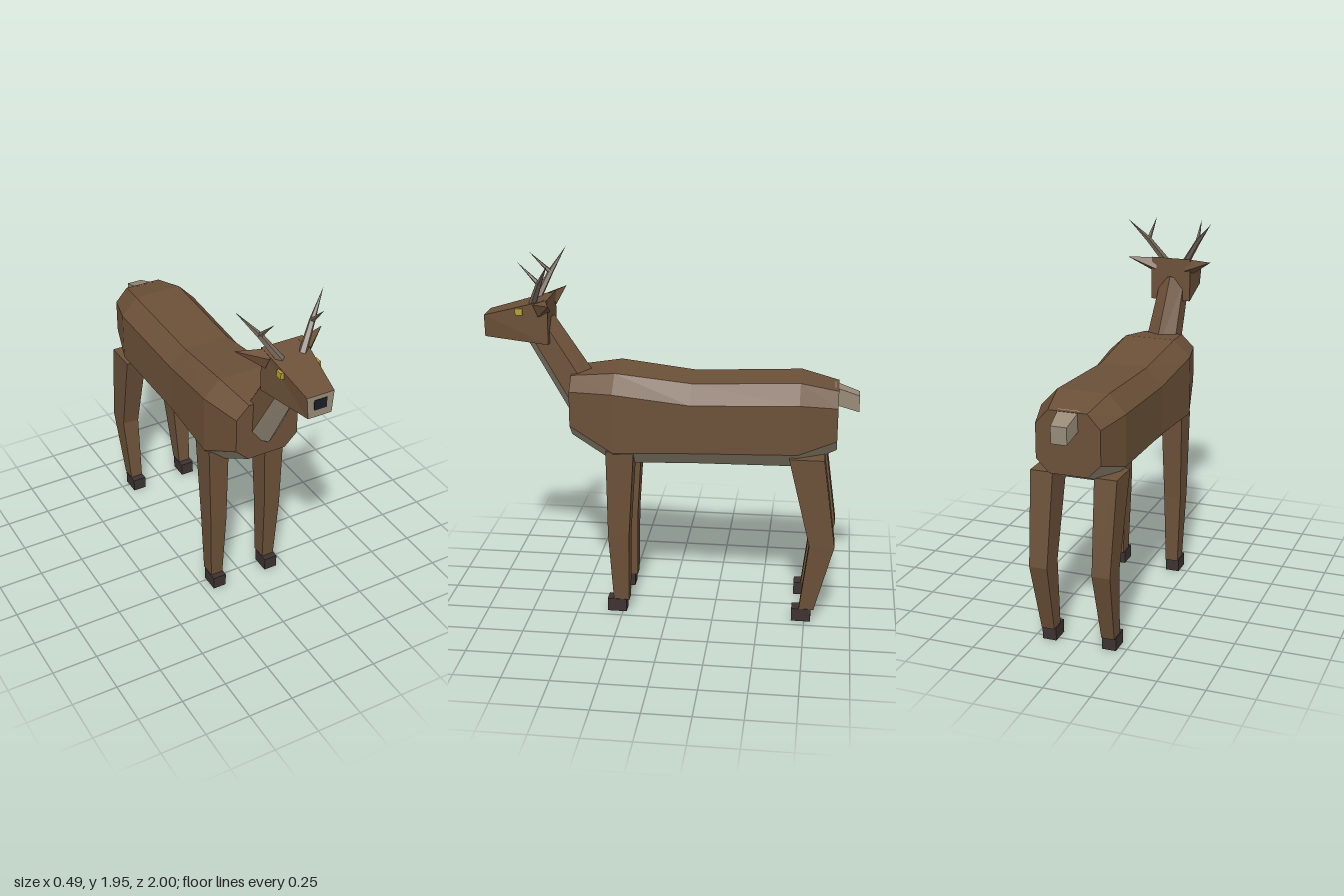
import * as THREE from 'three';

const mat = (color) => new THREE.MeshStandardMaterial({ color, flatShading: true });
const coat = mat(0x6b5038), pale = mat(0x978b78), horn = mat(0x75685a);
const hoofMat = mat(0x3c3230), noseMat = mat(0x1c1c26), eyeMat = mat(0xb8a030);

// Skin a row of equal-length rings (counter-clockwise about the row's direction).
// sides: which strips to build; caps: [start, end]
function loft(rings, sides = null, caps = [true, true]) {
  const out = [], n = rings[0].length;
  const tri = (...pts) => pts.forEach((p) => out.push(...p));
  for (let r = 0; r < rings.length - 1; r++) {
    for (let i = 0; i < n; i++) {
      if (sides && !sides.includes(i)) continue;
      const j = (i + 1) % n, a = rings[r], b = rings[r + 1];
      tri(a[i], a[j], b[j]);
      tri(a[i], b[j], b[i]);
    }
  }
  const first = rings[0], last = rings[rings.length - 1];
  for (let i = 1; i < n - 1; i++) {
    if (caps[0]) tri(first[0], first[i + 1], first[i]);
    if (caps[1]) tri(last[0], last[i], last[i + 1]);
  }
  const g = new THREE.BufferGeometry();
  g.setAttribute('position', new THREE.Float32BufferAttribute(out, 3));
  g.computeVertexNormals();
  return g;
}

// Tapered round bar between two points
function bar(a, b, ra, rb, sides) {
  const A = new THREE.Vector3(...a), B = new THREE.Vector3(...b);
  const dir = B.clone().sub(A);
  const g = new THREE.CylinderGeometry(rb, ra, dir.length(), sides);
  g.applyQuaternion(new THREE.Quaternion().setFromUnitVectors(new THREE.Vector3(0, 1, 0), dir.normalize()));
  const mid = A.add(B).multiplyScalar(0.5);
  return g.translate(mid.x, mid.y, mid.z);
}

// Box from minimum and maximum corners
const block = (x0, x1, y0, y1, z0, z1) =>
  new THREE.BoxGeometry(x1 - x0, y1 - y0, z1 - z0).translate((x0 + x1) / 2, (y0 + y1) / 2, (z0 + z1) / 2);

// Upright cross-section with separate lower and upper half widths
const section = (z, wLow, wTop, y0, y1) => [[wLow, y0, z], [wTop, y1, z], [-wTop, y1, z], [-wLow, y0, z]];

export function createModel() {
  const model = new THREE.Group();
  const add = (parent, name, geometry, material) => {
    const m = new THREE.Mesh(geometry, material);
    m.name = name;
    parent.add(m);
  };

  // Body: eight-sided sections from rump to chest [z, half width, bottom, low, high, top]
  const bodyRings = [
    [-0.89, 0.17, 0.97, 1.04, 1.22, 1.295],
    [-0.69, 0.225, 0.88, 0.975, 1.245, 1.34],
    [-0.12, 0.215, 0.87, 0.955, 1.22, 1.315],
    [0.29, 0.235, 0.86, 0.945, 1.27, 1.36],
    [0.53, 0.18, 1.0, 1.07, 1.26, 1.33],
  ].map(([z, w, bottom, low, high, top]) => {
    const c = 0.6 * w;
    return [[w, low, z], [w, high, z], [c, top, z], [-c, top, z],
      [-w, high, z], [-w, low, z], [-c, bottom, z], [c, bottom, z]];
  });
  add(model, 'body', loft(bodyRings, [0, 1, 2, 3, 4]), coat);
  add(model, 'belly', loft(bodyRings, [5, 6, 7], [false, false]), pale);

  // Neck: leaning six-sided column with a pale throat [y, z, x radius, depth radius]
  const neckRings = [[1.144, 0.448, 0.105, 0.12], [1.58, 0.717, 0.08, 0.1]].map(([y, z, rx, rd]) =>
    Array.from({ length: 6 }, (_, k) => {
      const a = (k * Math.PI) / 3, d = Math.cos(a) * rd;
      return [-Math.sin(a) * rx, y + d * 0.533, z - d * 0.846];
    }));
  add(model, 'neck', loft(neckRings, [0, 1, 4, 5]), coat);
  add(model, 'throat', loft(neckRings, [2, 3], [false, false]), pale);

  // Head, pale muzzle end and nose
  const head = new THREE.Group();
  head.name = 'head';
  model.add(head);
  const muzzleEnd = section(0.997, 0.065, 0.075, 1.52, 1.638);
  add(head, 'skull', loft([section(0.645, 0.115, 0.115, 1.495, 1.737), muzzleEnd], null, [true, false]), coat);
  add(head, 'muzzle', loft([muzzleEnd, muzzleEnd], [], [false, true]), pale);
  add(head, 'nose', block(-0.035, 0.035, 1.56, 1.615, 0.98, 1.0), noseMat);

  // Tail
  add(model, 'tail', loft([
    section(-1.0, 0.042, 0.042, 1.165, 1.255),
    section(-0.87, 0.055, 0.055, 1.205, 1.3),
  ]), pale);

  // Leg sections [y, inner x, outer x, front z, back z] from ankle to top
  const legs = {
    front: { hoof: [0.23, 0.335], rows: [
      [0.07, 0.13, 0.2, 0.3, 0.215], [0.46, 0.12, 0.215, 0.325, 0.21], [0.95, 0.11, 0.227, 0.33, 0.18]] },
    rear: { hoof: [-0.785, -0.68], rows: [
      [0.07, 0.13, 0.2, -0.72, -0.8], [0.455, 0.12, 0.217, -0.765, -0.9], [0.95, 0.11, 0.23, -0.645, -0.83]] },
  };

  for (const s of [1, -1]) {
    const side = s > 0 ? 'Left' : 'Right';

    for (const [end, { hoof, rows }] of Object.entries(legs)) {
      const rings = rows.map(([y, inner, outer, zf, zb]) => {
        const x0 = Math.min(s * inner, s * outer), x1 = Math.max(s * inner, s * outer);
        return [[x0, y, zf], [x1, y, zf], [x1, y, zb], [x0, y, zb]];
      });
      const leg = new THREE.Group();
      leg.name = `${end}Leg${side}`;
      model.add(leg);
      add(leg, 'leg', loft(rings), coat);
      add(leg, 'hoof', block(s * 0.165 - 0.038, s * 0.165 + 0.038, 0, 0.073, hoof[0], hoof[1]), hoofMat);
    }

    // Eye and pointed ear
    add(head, `eye${side}`, block(s * 0.1 - 0.011, s * 0.1 + 0.011, 1.65, 1.686, 0.78, 0.82), eyeMat);
    add(head, `ear${side}`, bar([s * 0.1, 1.69, 0.68], [s * 0.245, 1.735, 0.612], 0.05, 0, 4), coat);

    // Antler: beam, swept-back tip and forward tine
    const antler = new THREE.Group();
    antler.name = `antler${side}`;
    head.add(antler);
    const fork = [s * 0.145, 1.83, 0.678];
    add(antler, 'beam', bar([s * 0.06, 1.7, 0.735], fork, 0.022, 0.016, 5), horn);
    add(antler, 'beamTip', bar(fork, [s * 0.243, 1.95, 0.612], 0.016, 0, 5), horn);
    add(antler, 'tine', bar(fork, [s * 0.135, 1.94, 0.79], 0.014, 0, 5), horn);
  }
  return model;
}
